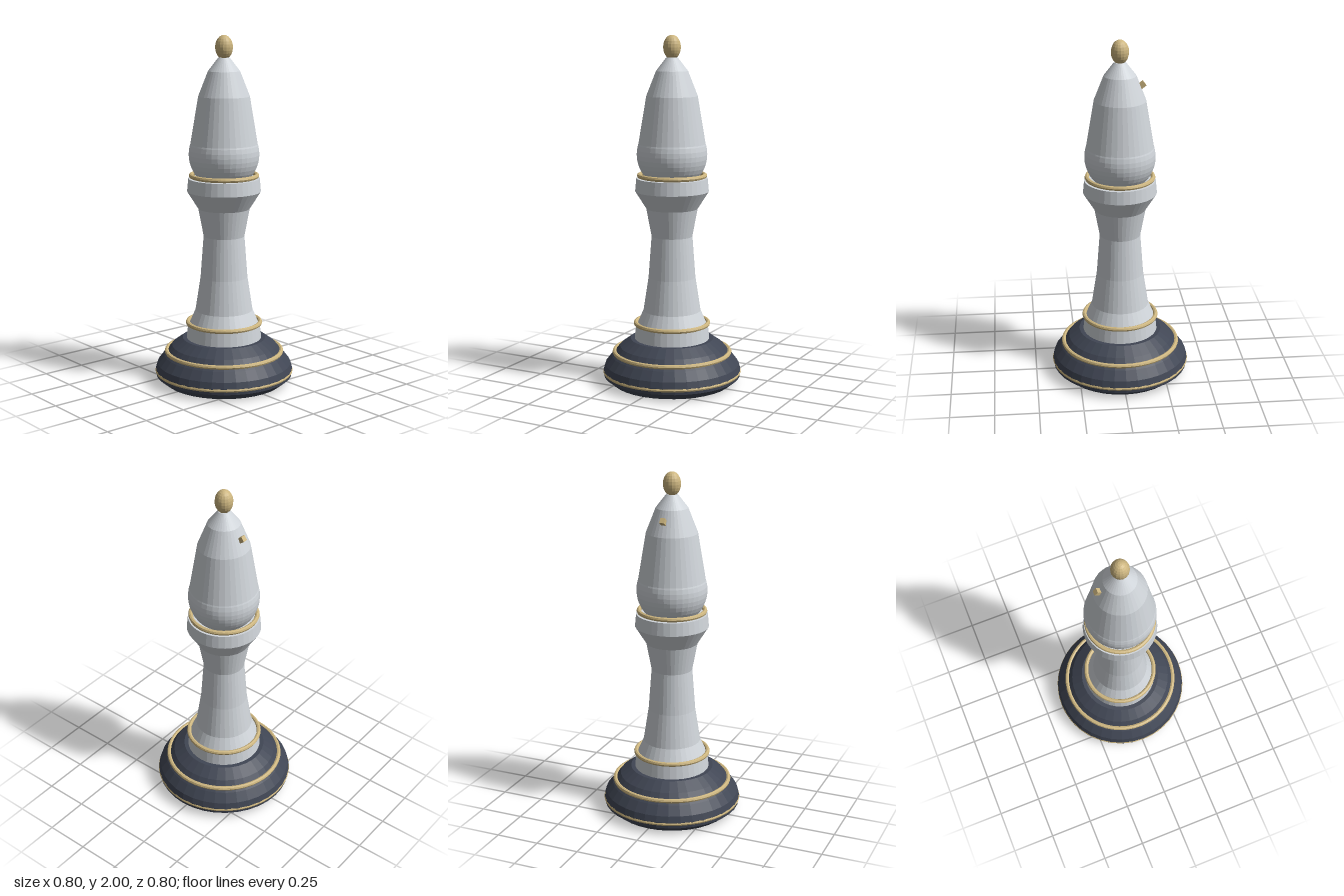
import * as THREE from 'three';

const ivory = new THREE.MeshStandardMaterial({ color: 0xd0d5da });
ivory.name = 'pale grey';
const navy = new THREE.MeshStandardMaterial({ color: 0x404654 });
navy.name = 'dark slate';
const gold = new THREE.MeshStandardMaterial({ color: 0xcdb680 });
gold.name = 'muted gold';

// Faceted mesh
function part(name, geometry, material, y = 0) {
  const flat = geometry.index ? geometry.toNonIndexed() : geometry;
  flat.computeVertexNormals();
  const mesh = new THREE.Mesh(flat, material);
  mesh.name = name;
  mesh.position.y = y;
  return mesh;
}

// Turned part from [radius, height] pairs, bottom to top
function turned(name, profile, material) {
  const points = profile.map(([r, y]) => new THREE.Vector2(r, y));
  return part(name, new THREE.LatheGeometry(points, 36), material);
}

function ring(name, radius, tube, y) {
  const geometry = new THREE.TorusGeometry(radius, tube, 8, 48).rotateX(Math.PI / 2);
  return part(name, geometry, gold, y);
}

export function createModel() {
  const model = new THREE.Group();
  model.name = 'chessPiece';

  // Stepped base
  model.add(turned('base', [
    [0, 0], [0.345, 0], [0.395, 0.04], [0.398, 0.075], [0.388, 0.11],
    [0.35, 0.16], [0.33, 0.18], [0.302, 0.215], [0.24, 0.26], [0, 0.26],
  ], navy));
  model.add(ring('baseLowerRing', 0.389, 0.012, 0.065));
  model.add(ring('baseUpperRing', 0.333, 0.013, 0.18));

  // Foot collar and stem
  model.add(turned('footCollar', [[0, 0.255], [0.217, 0.255], [0.207, 0.345], [0, 0.345]], ivory));
  model.add(ring('footRing', 0.209, 0.013, 0.35));
  model.add(turned('stem', [
    [0, 0.34], [0.2, 0.345], [0.165, 0.425], [0.135, 0.62], [0.117, 0.86],
    [0.147, 1.02], [0.21, 1.12], [0.203, 1.195], [0, 1.195],
  ], ivory));
  model.add(ring('neckRing', 0.187, 0.013, 1.21));

  // Head: round underside below a tapering hood
  model.add(part('headBulb', new THREE.SphereGeometry(0.2, 36, 24), ivory, 1.33));
  model.add(turned('hood', [
    [0, 1.35], [0.197, 1.35], [0.145, 1.66], [0.09, 1.8], [0.032, 1.875], [0, 1.875],
  ], ivory));

  // Finial
  const finial = new THREE.SphereGeometry(0.05, 16, 12).scale(1, 1.36, 1);
  model.add(part('finial', finial, gold, 1.932));

  // Small tilted peg on the model's right side of the hood
  const peg = part('peg', new THREE.BoxGeometry(0.06, 0.03, 0.028), gold);
  peg.position.set(-0.112, 1.737, 0);
  peg.rotation.z = -0.64;
  model.add(peg);

  return model;
}
